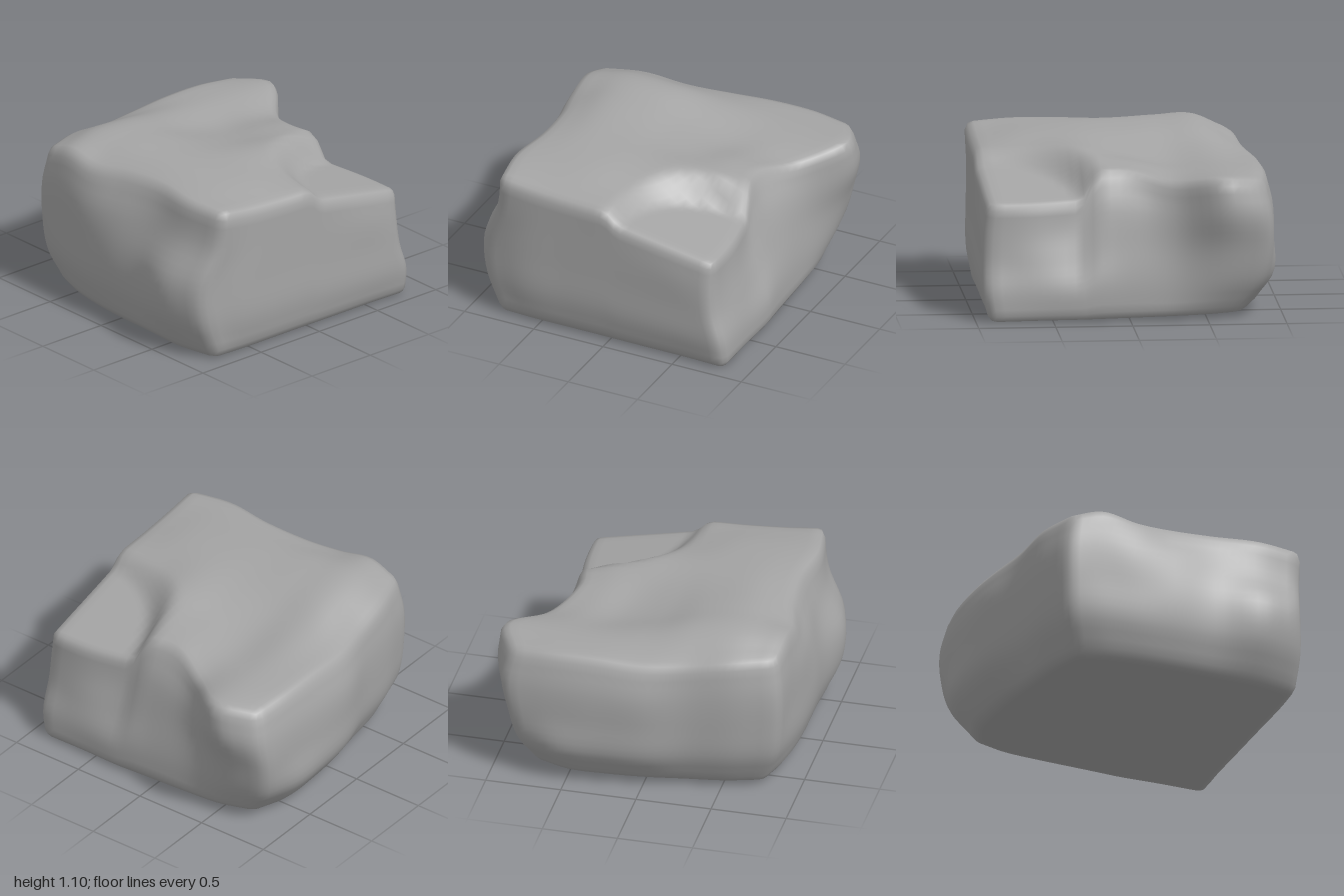
import * as THREE from 'three';
import { mergeVertices, toCreasedNormals } from 'three/addons/utils/BufferGeometryUtils.js';

// Smooth interpolation along a row of evenly spaced values, t in 0..1
function spline(row, t) {
  const f = Math.min(Math.max(t, 0), 1) * (row.length - 1);
  const i = Math.min(Math.floor(f), row.length - 2), k = f - i;
  const at = (j) => row[Math.min(Math.max(j, 0), row.length - 1)];
  const [a, b, c, d] = [at(i - 1), at(i), at(i + 1), at(i + 2)];
  return b + 0.5 * k * (c - a + k * (2 * a - 5 * b + 4 * c - d + k * (3 * (b - c) + d - a)));
}
const patch = (rows, s, t) => spline(rows.map((r) => spline(r, s)), t);

// Side reliefs: distance from the centre, rows from bottom to top
const plusX = [ // columns run back to front
  [0.74, 0.81, 0.83, 0.84, 0.85, 0.84, 0.84],
  [0.83, 0.88, 0.84, 0.84, 0.85, 0.84, 0.83],
  [0.88, 0.93, 0.83, 0.80, 0.78, 0.80, 0.77],
  [0.92, 1.00, 0.82, 0.74, 0.72, 0.76, 0.75],
  [0.88, 0.99, 0.77, 0.63, 0.69, 0.74, 0.75]];
const minusX = [
  [0.77, 0.83, 0.86, 0.87, 0.87, 0.87, 0.81],
  [0.86, 0.90, 0.93, 0.94, 0.94, 0.98, 0.91],
  [0.89, 0.91, 0.94, 0.95, 0.94, 0.99, 0.93],
  [0.89, 0.91, 0.93, 0.91, 0.87, 0.87, 0.82],
  [0.86, 0.88, 0.87, 0.81, 0.79, 0.83, 0.79]];
const minusZ = [ // columns run from -x to +x
  [0.64, 0.71, 0.75, 0.79, 0.81, 0.81, 0.73],
  [0.72, 0.80, 0.84, 0.92, 0.95, 0.95, 0.87],
  [0.74, 0.82, 0.86, 0.94, 0.96, 0.95, 0.92],
  [0.74, 0.82, 0.86, 0.94, 0.95, 0.94, 0.91],
  [0.70, 0.79, 0.83, 0.88, 0.89, 0.89, 0.86]];
const plusZ = [
  [0.90, 0.91, 0.91, 0.91, 0.91, 0.91, 0.92],
  [0.90, 0.95, 0.95, 0.95, 0.95, 0.95, 0.95],
  [0.89, 0.95, 0.95, 0.95, 0.95, 0.95, 0.95],
  [0.93, 0.95, 0.95, 0.95, 0.95, 0.95, 0.94],
  [0.95, 0.95, 0.95, 0.95, 0.94, 0.93, 0.92]];
// Upper surface heights, rows back to front, columns -x to +x
const upper = [
  [0.99, 0.98, 0.94, 0.93, 0.95, 0.95, 0.93],
  [1.05, 1.09, 1.07, 1.01, 0.97, 0.96, 0.96],
  [1.01, 1.09, 1.07, 0.99, 0.94, 0.93, 0.90],
  [1.03, 1.08, 1.06, 1.01, 0.98, 0.98, 0.96],
  [1.05, 1.07, 1.06, 1.04, 1.03, 1.00, 0.95],
  [1.05, 1.05, 1.04, 1.00, 0.97, 0.95, 0.90],
  [1.04, 1.01, 0.99, 0.98, 0.95, 0.92, 0.88]];

// The top breaks along a curved step down to a sloping ledge at the front +x corner
function topHeight(x, z, s, t) {
  const inside = Math.max(x + 0.1, 0) * Math.max(z - 0.12, 0);
  const step = THREE.MathUtils.smoothstep(inside, 0.05, 0.15);
  return THREE.MathUtils.lerp(patch(upper, s, t), 0.91 - 0.2 * x, step);
}

export function createModel() {
  const group = new THREE.Group();
  group.name = 'rock';

  // Finely divided block with shared corners
  let geo = new THREE.BoxGeometry(2, 2, 2, 32, 18, 32);
  geo.deleteAttribute('normal');
  geo.deleteAttribute('uv');
  geo = mergeVertices(geo);

  // Round the block's edges, then push it out to the reliefs
  const pos = geo.attributes.position, round = 0.08;
  const core = new THREE.Vector3(), p = new THREE.Vector3();
  for (let i = 0; i < pos.count; i++) {
    p.fromBufferAttribute(pos, i);
    core.copy(p).clampScalar(round - 1, 1 - round);
    p.sub(core).setLength(round).add(core);
    const s = (p.x + 1) / 2, v = (p.y + 1) / 2, t = (p.z + 1) / 2;
    const x = p.x * patch(p.x > 0 ? plusX : minusX, t, v);
    const z = p.z * patch(p.z > 0 ? plusZ : minusZ, s, v);
    const floor = 0.03 * (1 - t); // underside rises slightly to the back
    // the step is placed by the outline at the top, so the walls below follow it
    const topX = p.x * patch(p.x > 0 ? plusX : minusX, t, 1);
    const topZ = p.z * patch(p.z > 0 ? plusZ : minusZ, s, 1);
    pos.setXYZ(i, x, floor + v * (topHeight(topX, topZ, s, t) - floor), z);
  }

  const rock = new THREE.Mesh(
    toCreasedNormals(geo, 1.1),
    new THREE.MeshStandardMaterial({ color: 0xa4a4a4 }));
  rock.name = 'boulder';
  group.add(rock);
  return group;
}
